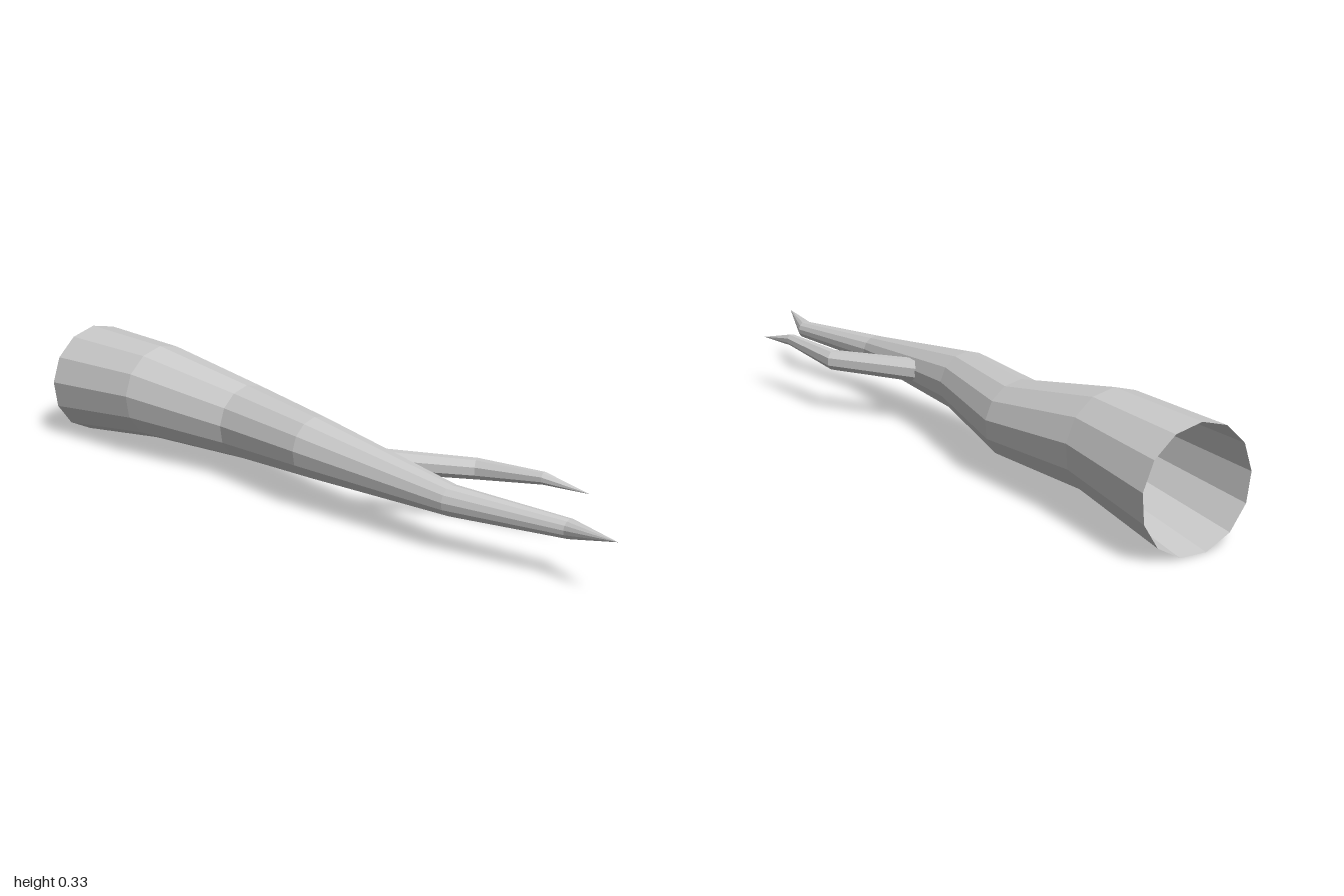
import * as THREE from 'three';

const material = new THREE.MeshStandardMaterial({ color: 0xcccccc, flatShading: true, side: THREE.DoubleSide });

// Tapering limb: rings of [x, y, z, radius, yaw], closed by a pointed tip
function limb(name, rings, tip, sides, phase) {
  const positions = [], index = [];
  for (const [x, y, z, r, yaw = 0] of rings) {
    for (let i = 0; i < sides; i++) {
      const a = phase + (i / sides) * Math.PI * 2;
      const u = r * Math.cos(a);
      positions.push(x + u * Math.cos(yaw), y + r * Math.sin(a), z - u * Math.sin(yaw));
    }
  }
  positions.push(...tip);
  const tipIndex = rings.length * sides;
  for (let k = 0; k < rings.length; k++) {
    for (let i = 0; i < sides; i++) {
      const j = (i + 1) % sides;
      const a = k * sides + i, b = k * sides + j;
      if (k === rings.length - 1) index.push(a, b, tipIndex);
      else index.push(a, b, b + sides, a, b + sides, a + sides);
    }
  }
  const geometry = new THREE.BufferGeometry();
  geometry.setAttribute('position', new THREE.Float32BufferAttribute(positions, 3));
  geometry.setIndex(index);
  geometry.computeVertexNormals();
  const mesh = new THREE.Mesh(geometry, material);
  mesh.name = name;
  return mesh;
}

export function createModel() {
  const group = new THREE.Group();
  group.name = 'branch';

  // Main bough, open at the thick back end
  group.add(limb('mainBough', [
    [-0.032, 0.166, -1, 0.165],
    [-0.037, 0.188, -0.67, 0.141],
    [0.0, 0.161, -0.33, 0.109],
    [-0.052, 0.172, 0, 0.087],
    [-0.055, 0.147, 0.5, 0.042],
    [0.006, 0.143, 0.83, 0.026],
  ], [-0.03, 0.165, 1], 13, THREE.MathUtils.degToRad(-102)));

  // Side twig growing from the bough
  group.add(limb('sideTwig', [
    [-0.025, 0.168, 0.15, 0.034, 0.55],
    [0.14, 0.165, 0.415, 0.029, 0.5],
    [0.167, 0.182, 0.62, 0.017, 0.15],
  ], [0.192, 0.165, 0.75], 8, Math.PI / 8));

  return group;
}
